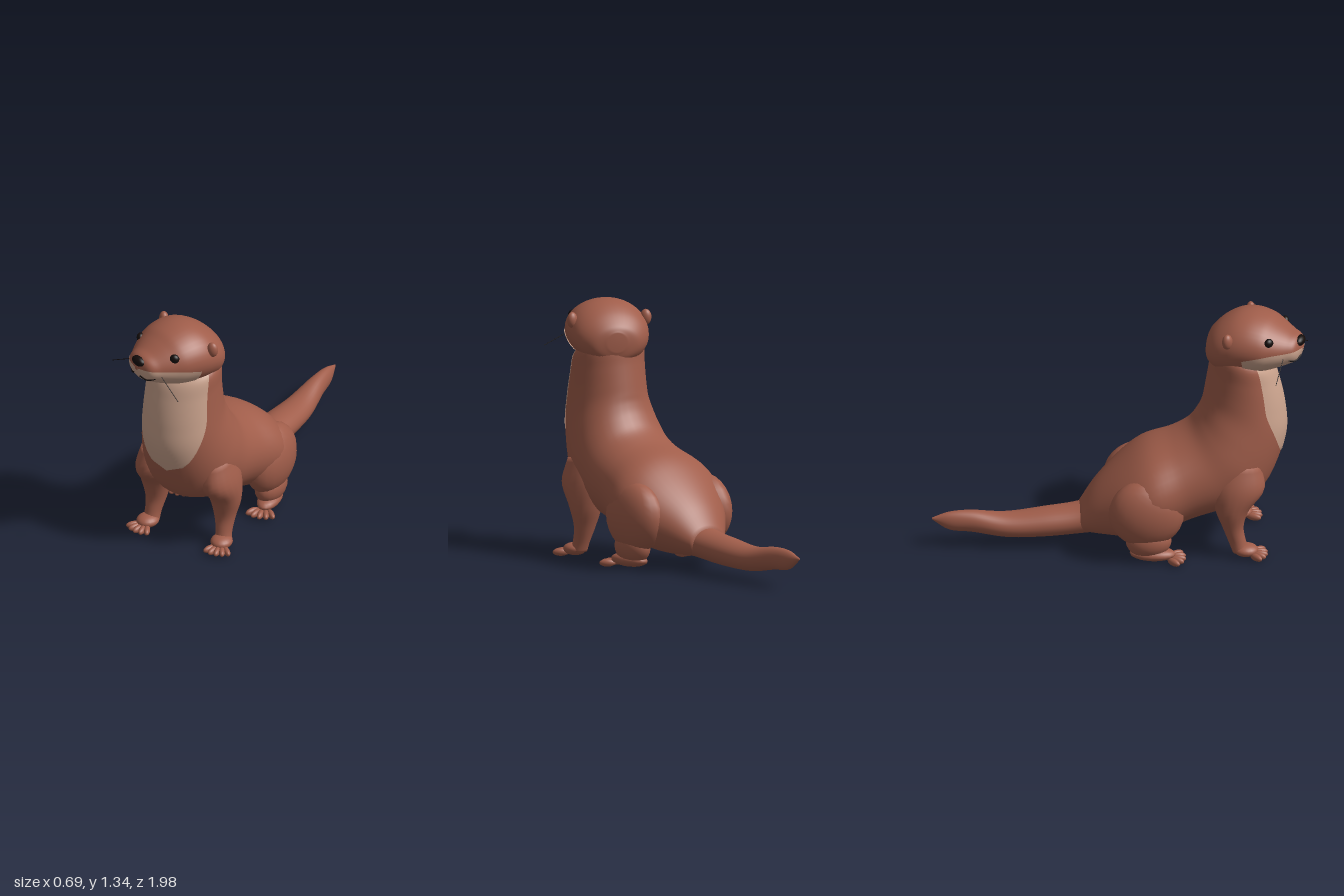
import * as THREE from 'three';

const mat = (name, color, extra = {}) => {
  const m = new THREE.MeshStandardMaterial({ color, ...extra });
  m.name = name;
  return m;
};

// Smooth skin through sections [frontZ, frontY, backZ, backY, halfWidth, centreX]
function skin(sections) {
  const curve = (f) => new THREE.CatmullRomCurve3(sections.map(f), false, 'catmullrom', 0.5);
  const front = curve((s) => new THREE.Vector3(0, s[1], s[0]));
  const back = curve((s) => new THREE.Vector3(0, s[3], s[2]));
  const width = curve((s) => new THREE.Vector3(s[4], s[5] || 0, 0));
  return (t, angle, scale = 1) => {
    const f = front.getPoint(t), b = back.getPoint(t), w = width.getPoint(t);
    const c = f.clone().add(b).multiplyScalar(0.5);
    const p = f.sub(c).multiplyScalar(Math.cos(angle) * scale).add(c);
    p.x = w.y + w.x * Math.sin(angle) * scale;
    return p;
  };
}

// Grid of faces from a point rule; closed grids join their last column to the first
function grid(rule, rows, cols, closed) {
  const pos = [], index = [], n = closed ? cols : cols + 1;
  for (let i = 0; i <= rows; i++)
    for (let j = 0; j < n; j++) pos.push(...rule(i, j).toArray());
  for (let i = 0; i < rows; i++)
    for (let j = 0; j < cols; j++) {
      const k = (j + 1) % n;
      const a = i * n + j, b = i * n + k, c = (i + 1) * n + k, d = (i + 1) * n + j;
      index.push(a, b, c, a, c, d);
    }
  const g = new THREE.BufferGeometry();
  g.setAttribute('position', new THREE.Float32BufferAttribute(pos, 3));
  g.setIndex(index);
  g.computeVertexNormals();
  return g;
}

// Closed tube-like volume, with both ends drawn together
const volume = (s, rows = 40, cols = 32) => grid((i, j) => {
  const t = Math.min(Math.max((i - 1) / (rows - 2), 0), 1);
  return s(t, (j / cols) * Math.PI * 2, i === 0 || i === rows ? 0 : 1);
}, rows, cols, true);

// Thin coloured patch lying just above a skin
const patch = (s, t0, t1, spread, scale) => grid((i, j) => {
  const u = i / 32;
  return s(t0 + (t1 - t0) * u, spread(u) * (j / 12 - 1), scale);
}, 32, 24, false);

export function createModel() {
  const brown = mat('brown fur', 0xa05d4a);
  const cream = mat('cream fur', 0xcca48e, { side: THREE.DoubleSide });
  const black = mat('black', 0x140c0a);
  const model = new THREE.Group();
  model.name = 'otter';

  const add = (parent, name, geometry, material) => {
    const m = new THREE.Mesh(geometry, material);
    m.name = name;
    parent.add(m);
    return m;
  };
  const ball = (parent, name, material, at, size, yaw = 0) => {
    const m = add(parent, name, new THREE.SphereGeometry(1, 20, 14), material);
    m.position.set(...at);
    m.scale.set(...size);
    m.rotation.y = yaw;
    return m;
  };

  // Body from rump to neck
  const bodySkin = skin([
    [-0.22, 0.1, -0.22, 0.24, 0.1],
    [-0.1, 0.09, -0.13, 0.37, 0.19],
    [0.05, 0.09, 0.0, 0.5, 0.29],
    [0.2, 0.12, 0.12, 0.59, 0.325],
    [0.38, 0.18, 0.26, 0.645, 0.29],
    [0.58, 0.24, 0.35, 0.7, 0.275],
    [0.73, 0.33, 0.4, 0.77, 0.265],
    [0.81, 0.46, 0.425, 0.83, 0.245],
    [0.865, 0.65, 0.435, 0.88, 0.22],
    [0.86, 0.8, 0.445, 0.94, 0.208],
    [0.83, 0.95, 0.46, 1.03, 0.2],
    [0.79, 1.06, 0.475, 1.13, 0.195],
    [0.7, 1.12, 0.52, 1.2, 0.15],
  ]);
  add(model, 'body', volume(bodySkin, 72, 40), brown);

  // Chest bib with a rounded lower end
  const bibSpread = (u) => 1.12 * Math.sqrt(1 - (1 - Math.min(u / 0.45, 1)) ** 2);
  add(model, 'bib', patch(bodySkin, 7.4 / 12, 11.3 / 12, bibSpread, 1.015), cream);

  // Tail from tip to base
  add(model, 'tail', volume(skin([
    [-0.99, 0.175, -0.99, 0.185, 0.005],
    [-0.9, 0.115, -0.9, 0.215, 0.032],
    [-0.78, 0.1, -0.78, 0.22, 0.05],
    [-0.6, 0.07, -0.6, 0.2, 0.08],
    [-0.4, 0.07, -0.4, 0.22, 0.097],
    [-0.2, 0.085, -0.2, 0.25, 0.105],
    [-0.05, 0.1, -0.05, 0.32, 0.13],
  ])), brown);

  // Head, turned a little to its right
  const head = new THREE.Group();
  head.name = 'head';
  head.position.set(0.01, 0, 0.62);
  head.rotation.y = -0.38;
  model.add(head);
  const headSkin = skin([
    [-0.16, 1.1, 0.0, 1.2, 0.05],
    [-0.14, 1.05, 0.0, 1.24, 0.13],
    [-0.08, 1.02, 0.0, 1.3, 0.19],
    [0.0, 1.02, 0.0, 1.345, 0.212],
    [0.08, 1.03, 0.0, 1.355, 0.212],
    [0.16, 1.045, 0.0, 1.338, 0.195],
    [0.22, 1.065, 0.0, 1.305, 0.165],
    [0.28, 1.09, 0.0, 1.27, 0.125],
    [0.33, 1.12, 0.0, 1.245, 0.085],
    [0.352, 1.175, 0.0, 1.195, 0.012],
  ].map(([z, low, , high, w]) => [z, low, z, high, w]));
  add(head, 'skull', volume(headSkin, 56, 40), brown);
  add(head, 'muzzle', patch(headSkin, 4 / 9, 1, (u) => 1.35 + 0.4 * Math.sin(u * Math.PI / 2), 1.02), cream);
  ball(head, 'nose', black, [0, 1.222, 0.335], [0.046, 0.027, 0.026]);

  for (const side of [-1, 1]) {
    const label = side > 0 ? 'left' : 'right';
    ball(head, label + 'Eye', black, [side * 0.14, 1.25, 0.208], [0.026, 0.026, 0.02], side * 0.7);
    ball(head, label + 'Ear', brown, [side * 0.2, 1.255, 0.0], [0.03, 0.042, 0.025], side * 0.5);
    // Mouth corner and whisker
    const mouth = new THREE.CatmullRomCurve3([[0.02, 1.145, 0.345], [0.06, 1.13, 0.328], [0.1, 1.145, 0.302]]
      .map(([x, y, z]) => new THREE.Vector3(side * x, y, z)));
    add(head, label + 'Mouth', new THREE.TubeGeometry(mouth, 10, 0.005, 6), black);
    const whisker = new THREE.LineCurve3(
      new THREE.Vector3(side * 0.1, 1.17, 0.28), new THREE.Vector3(side * 0.27, 1.08, 0.29));
    add(head, label + 'Whisker', new THREE.TubeGeometry(whisker, 1, 0.002, 5), black);

    // Front leg from paw to shoulder
    add(model, label + 'FrontLeg', volume(skin([
      [0.66, 0.045, 0.57, 0.045, 0.045, side * 0.215],
      [0.64, 0.11, 0.55, 0.1, 0.045, side * 0.21],
      [0.63, 0.19, 0.52, 0.18, 0.06, side * 0.205],
      [0.66, 0.29, 0.48, 0.29, 0.085, side * 0.205],
      [0.74, 0.4, 0.46, 0.42, 0.095, side * 0.195],
      [0.72, 0.53, 0.5, 0.56, 0.07, side * 0.18],
    ]), 28, 20), brown);

    // Hind leg: thigh, shank and long foot
    ball(model, label + 'Thigh', brown, [side * 0.225, 0.29, 0.12], [0.115, 0.19, 0.2]);
    ball(model, label + 'Shank', brown, [side * 0.235, 0.13, 0.13], [0.075, 0.09, 0.12]);
    ball(model, label + 'HindFoot', brown, [side * 0.24, 0.06, 0.15], [0.06, 0.036, 0.12], side * 0.15);
    ball(model, label + 'FrontPaw', brown, [side * 0.22, 0.055, 0.64], [0.058, 0.034, 0.065], side * 0.15);

    // Splayed toes on both feet
    for (let i = -2; i <= 2; i++) {
      const a = side * 0.2 + i * 0.32;
      for (const [name, x, z, reach] of [['FrontToe', 0.22, 0.64, 0.075], ['HindToe', 0.24, 0.2, 0.085]])
        ball(model, label + name, brown,
          [side * x + Math.sin(a) * reach, 0.035, z + Math.cos(a) * reach], [0.017, 0.02, 0.042], a);
    }
  }
  return model;
}
